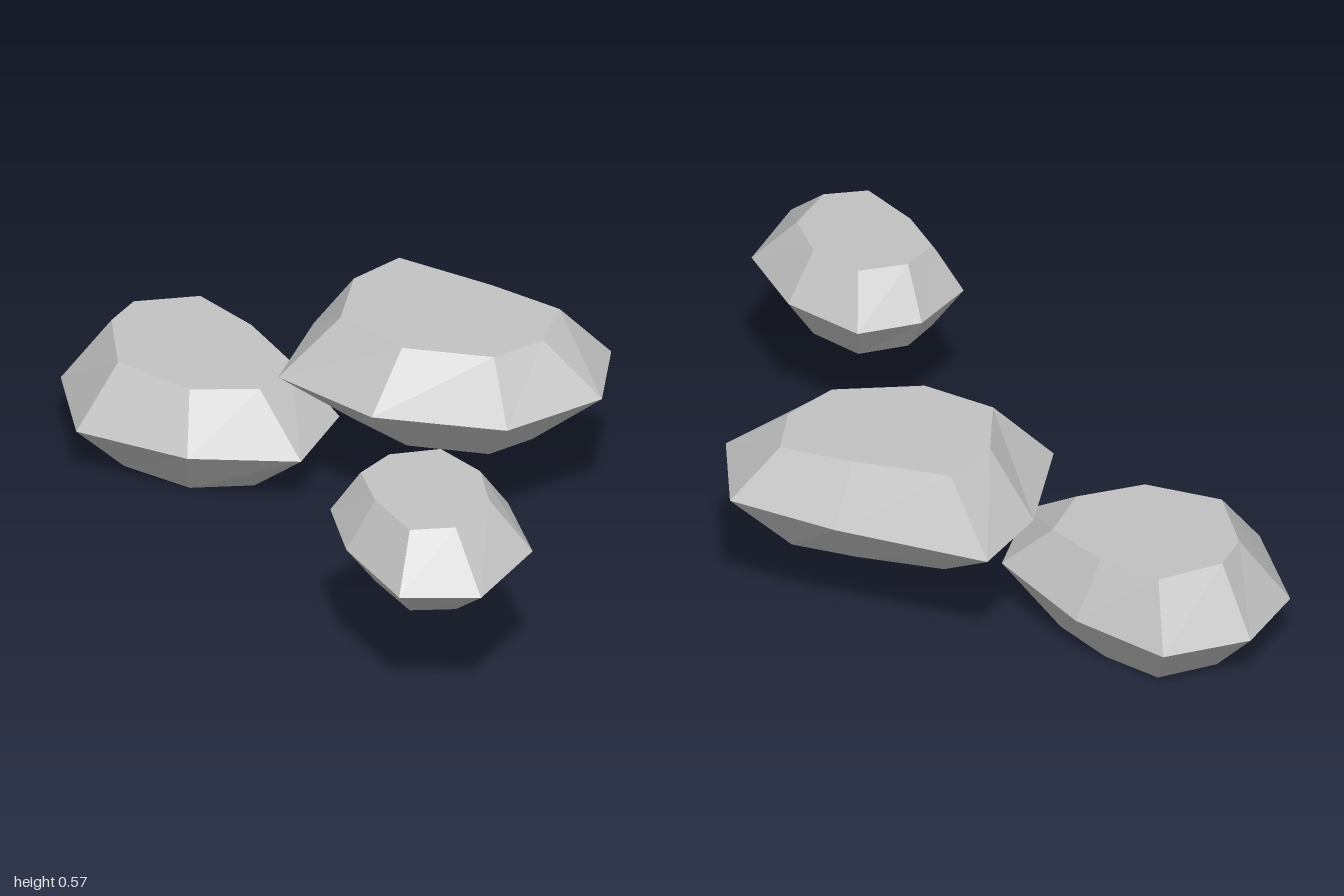
import * as THREE from 'three';

// Middle of a list of points, in any number of dimensions
const centreOf = points => points[0].map((_, k) => points.reduce((s, p) => s + p[k], 0) / points.length);

// Lay an [x, z] outline on a tilted plane [height, slope along x, slope along z]
function ring(outline, [y, slopeX, slopeZ], scale = 1) {
  const [cx, cz] = centreOf(outline);
  return outline.map(([x, z]) => {
    const dx = (x - cx) * scale, dz = (z - cz) * scale;
    return [cx + dx, y + dx * slopeX + dz * slopeZ, cz + dz];
  });
}

// Loft base, waist and crown rings (clockwise from above), then close both ends with fans
function rockGeometry(base, waist, crown) {
  const n = waist.length;
  const points = [...base, ...waist, ...crown, centreOf(base), centreOf(crown)];
  const index = [];
  for (let i = 0; i < n; i++) {
    const j = (i + 1) % n;
    for (const l of [0, n]) {
      const u = l + n;
      index.push(l + i, u + i, l + j, l + j, u + i, u + j);
    }
    index.push(3 * n, i, j);
    index.push(3 * n + 1, 2 * n + j, 2 * n + i);
  }
  const indexed = new THREE.BufferGeometry();
  indexed.setAttribute('position', new THREE.Float32BufferAttribute(points.flat(), 3));
  indexed.setIndex(index);
  const geometry = indexed.toNonIndexed();
  geometry.computeVertexNormals();
  return geometry;
}

export function createModel() {
  const group = new THREE.Group();
  group.name = 'rocks';
  const stone = new THREE.MeshStandardMaterial({ color: 0xc2c2c2, flatShading: true });
  stone.name = 'stone grey';

  // The base repeats the crown outline, slightly shrunk
  function addRock(name, waist, crown, planes, baseScale) {
    const geometry = rockGeometry(
      ring(crown, planes.base, baseScale), ring(waist, planes.waist), ring(crown, planes.crown));
    const mesh = new THREE.Mesh(geometry, stone);
    mesh.name = name;
    group.add(mesh);
  }

  // Low rock on the -x side
  addRock('lowRock',
    [[-.88, -.205], [-.60, -.23], [-.28, -.155], [-.165, .085], [-.385, .29], [-.70, .40], [-.95, .23], [-1, .01]],
    [[-.80, -.13], [-.61, -.14], [-.41, -.10], [-.355, .06], [-.465, .21], [-.68, .27], [-.85, .14], [-.885, .03]],
    { base: [.008, -.01, .01], waist: [.164, .035, .005], crown: [.323, -.05, .03] }, .92);

  // Large rock in the middle, towards the back
  addRock('largeRock',
    [[-.455, -.42], [-.06, -.575], [.235, -.655], [.415, -.46], [.375, -.16], [.075, .05], [-.26, .08], [-.42, -.19]],
    [[-.295, -.38], [-.04, -.48], [.16, -.54], [.25, -.40], [.235, -.24], [.05, -.08], [-.165, -.055], [-.29, -.215]],
    { base: [.245, -.045, .02], waist: [.398, .035, .015], crown: [.555, -.04, .02] }, .89);

  // Small rock on the +x side, towards the front
  addRock('smallRock',
    [[.46, .13], [.695, .125], [.92, .24], [1, .495], [.85, .65], [.575, .59], [.395, .485], [.37, .285]],
    [[.53, .215], [.685, .215], [.81, .295], [.85, .45], [.775, .545], [.60, .51], [.47, .445], [.455, .33]],
    { base: [.314, 0, .01], waist: [.437, -.005, -.03], crown: [.567, 0, -.035] }, 1);

  return group;
}
